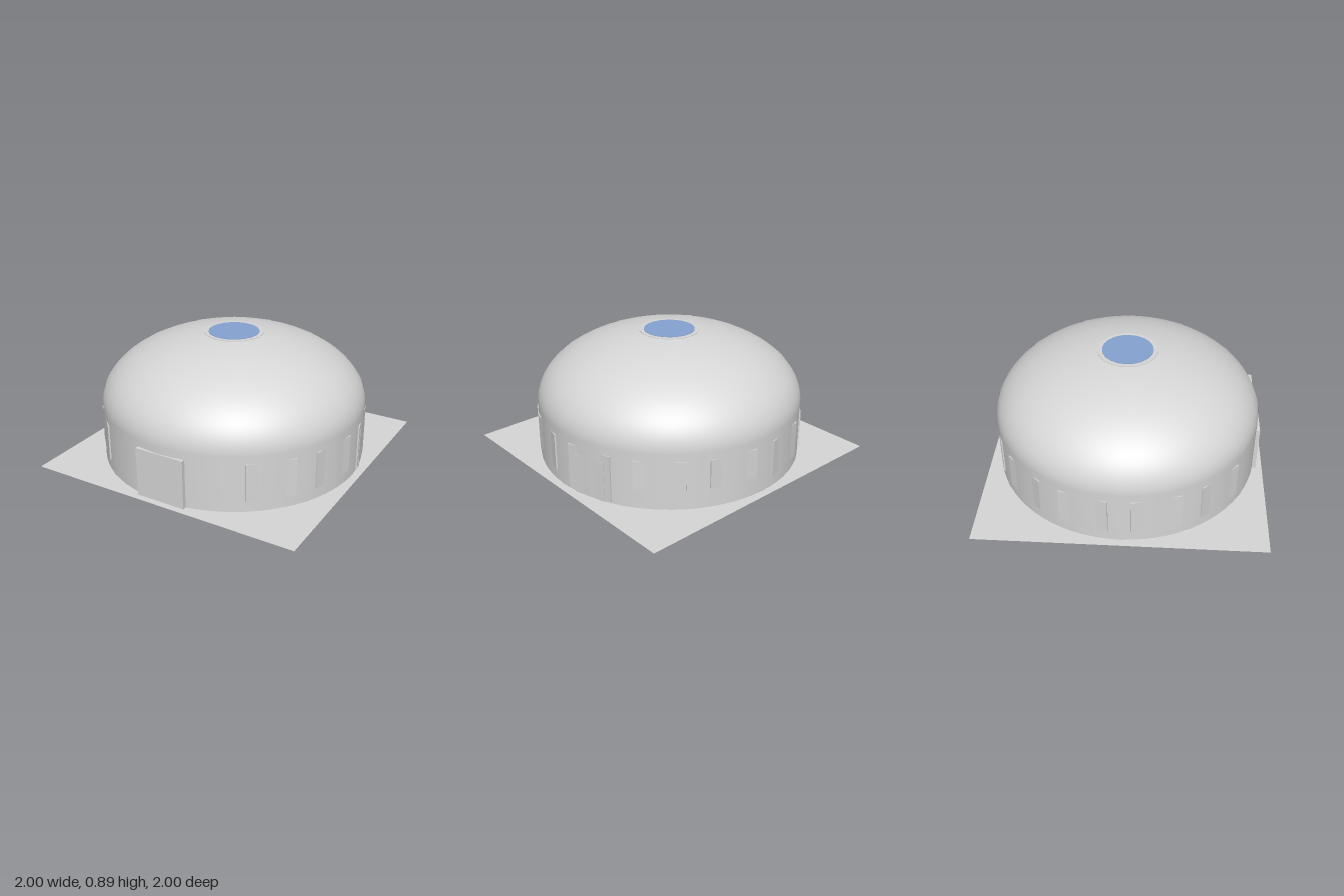
import * as THREE from 'three';

const RADIUS = 0.945, WALL = 0.4, RISE = 0.5, CAP = 0.21;

const shell = new THREE.MeshStandardMaterial({ color: 0xd6d6d6, side: THREE.DoubleSide });
shell.name = 'pale grey';
const glass = new THREE.MeshStandardMaterial({ color: 0x86a2d2 });
glass.name = 'skylight blue';

// Wall and elliptical roof profile, pushed outwards by a small offset
function profile(offset) {
  const points = [new THREE.Vector2(RADIUS + offset, 0)];
  const end = Math.acos(CAP / RADIUS);
  for (let i = 0; i <= 24; i++) {
    const t = (end * i) / 24;
    points.push(new THREE.Vector2(
      (RADIUS + offset) * Math.cos(t), WALL + (RISE + offset) * Math.sin(t)));
  }
  return points;
}

export function createModel() {
  const model = new THREE.Group();
  model.name = 'domedBuilding';

  const add = (name, geometry, material, parent = model) => {
    const mesh = new THREE.Mesh(geometry, material);
    mesh.name = name;
    parent.add(mesh);
    return mesh;
  };

  // Flat panel set into the wall at an angle measured from the front
  const panel = (name, degrees, width, bottom, top, face) => {
    const depth = 0.04;
    const holder = new THREE.Group();
    holder.name = name;
    holder.rotation.y = THREE.MathUtils.degToRad(degrees);
    const mesh = add(name + 'Panel', new THREE.BoxGeometry(width, top - bottom, depth), shell, holder);
    mesh.position.set(0, (top + bottom) / 2, face - depth / 2);
    model.add(holder);
  };

  // Ground sheet
  const ground = new THREE.PlaneGeometry(2, 2);
  ground.rotateX(-Math.PI / 2);
  add('ground', ground, shell);

  // Round wall and roof
  add('dome', new THREE.LatheGeometry(profile(0), 72), shell);

  // Twelve shallow ribs, tapering towards the top
  const ribAngle = THREE.MathUtils.degToRad(3.2);
  for (let i = 0; i < 12; i++) {
    const start = (i * Math.PI) / 6 - ribAngle / 2;
    add('rib', new THREE.LatheGeometry(profile(0.002), 2, start, ribAngle), shell);
  }

  // Collar and skylight
  add('collar', new THREE.CylinderGeometry(CAP, CAP, 0.02, 48), shell).position.y = 0.881;
  add('skylight', new THREE.CylinderGeometry(0.18, 0.18, 0.003, 20), glass).position.y = 0.8925;

  // Windows, leaving gaps for the front and side doors
  for (let angle = 45; angle <= 315; angle += 30) {
    if (angle === 105) continue;
    const sill = angle === 135 || angle === 165 ? 0.14 : 0.08;
    panel('window', angle, 0.34, sill, 0.345, 0.94);
  }

  // Front door and framed side door
  panel('frontDoor', 0, 0.36, 0, 0.35, 0.955);
  panel('sideDoorFrame', 105, 0.34, 0.01, 0.345, 0.94);
  panel('sideDoor', 105, 0.24, 0, 0.285, 0.943);

  return model;
}
